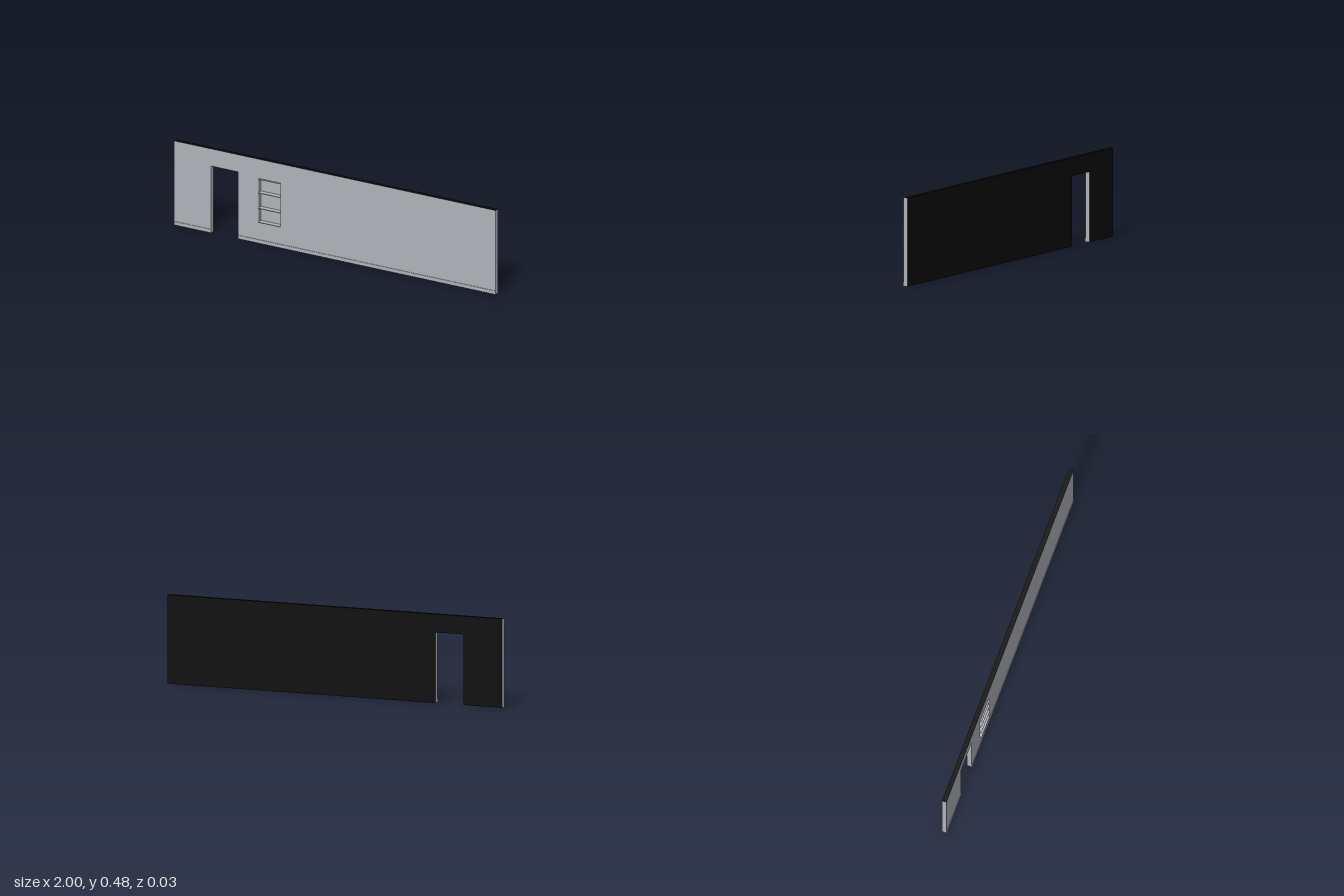
import * as THREE from 'three';

const H = 0.478, FRONT = 0.009, BACK = -0.0165;
const DOOR = { l: -0.77, r: -0.602, top: 0.38 };
const NICHE = { l: -0.473, r: -0.338, bottom: 0.121, top: 0.367, z: -0.013 };

export function createModel() {
  const group = new THREE.Group();
  const plaster = new THREE.MeshStandardMaterial({ color: 0xb0b3ba });
  plaster.name = 'grey plaster';
  const black = new THREE.MeshStandardMaterial({ color: 0x0a0a0a });
  black.name = 'black';

  const add = (name, geometry, material) => {
    const mesh = new THREE.Mesh(geometry, material);
    mesh.name = name;
    group.add(mesh);
    return mesh;
  };
  const points = (list) => list.map(([x, y]) => new THREE.Vector2(x, y));

  // Strip of flat quads along a closed outline, between two depths
  const rim = (outline, zFront, zBack, keep = () => true) => {
    const pos = [];
    outline.forEach((a, i) => {
      const b = outline[(i + 1) % outline.length];
      if (!keep(a, b)) return;
      pos.push(a.x, a.y, zFront, a.x, a.y, zBack, b.x, b.y, zBack);
      pos.push(a.x, a.y, zFront, b.x, b.y, zBack, b.x, b.y, zFront);
    });
    const g = new THREE.BufferGeometry();
    g.setAttribute('position', new THREE.Float32BufferAttribute(pos, 3));
    g.computeVertexNormals();
    return g;
  };

  // Wall outline, counterclockwise, with the doorway cut up from the floor
  const wall = points([
    [-1, 0], [DOOR.l, 0], [DOOR.l, DOOR.top], [DOOR.r, DOOR.top],
    [DOOR.r, 0], [1, 0], [1, H], [-1, H],
  ]);
  // Niche outline, clockwise so its walls face inward
  const niche = points([
    [NICHE.l, NICHE.bottom], [NICHE.l, NICHE.top],
    [NICHE.r, NICHE.top], [NICHE.r, NICHE.bottom],
  ]);

  // Front face with the niche opening
  const frontShape = new THREE.Shape(wall);
  frontShape.holes.push(new THREE.Path(niche));
  add('wallFront', new THREE.ShapeGeometry(frontShape).translate(0, 0, FRONT), plaster);

  // Back face, mirrored and turned to face -z
  const mirrored = new THREE.Shape(wall.map((p) => new THREE.Vector2(-p.x, p.y)).reverse());
  add('wallBack', new THREE.ShapeGeometry(mirrored).rotateY(Math.PI).translate(0, 0, BACK), black);

  // Top and floor edges are black; ends and doorway lining are plaster
  const isCut = (a, b) => a.y === b.y && (a.y === 0 || a.y === H);
  add('wallTopAndFloorEdges', rim(wall, FRONT, BACK, isCut), black);
  add('wallEndsAndDoorLining', rim(wall, FRONT, BACK, (a, b) => !isCut(a, b)), plaster);

  // Recessed niche
  add('nicheSides', rim(niche, FRONT, NICHE.z), plaster);
  add('nicheBack', new THREE.ShapeGeometry(new THREE.Shape(niche)).translate(0, 0, NICHE.z), plaster);

  // Shelves standing out of the niche
  const depth = 0.0175 - NICHE.z;
  for (const y of [0.121, 0.2005, 0.2885, 0.367]) {
    const shelf = add('shelf', new THREE.BoxGeometry(NICHE.r - NICHE.l, 0.004, depth), plaster);
    shelf.position.set((NICHE.l + NICHE.r) / 2, y, NICHE.z + depth / 2);
  }

  // Skirting board on both sides of the doorway
  for (const [x0, x1] of [[-1, DOOR.l], [DOOR.r, 1]]) {
    const board = add('skirting', new THREE.BoxGeometry(x1 - x0, 0.02, 0.0035),
      [plaster, plaster, plaster, black, plaster, plaster]);
    board.position.set((x0 + x1) / 2, 0.01, FRONT + 0.00175);
  }
  return group;
}
